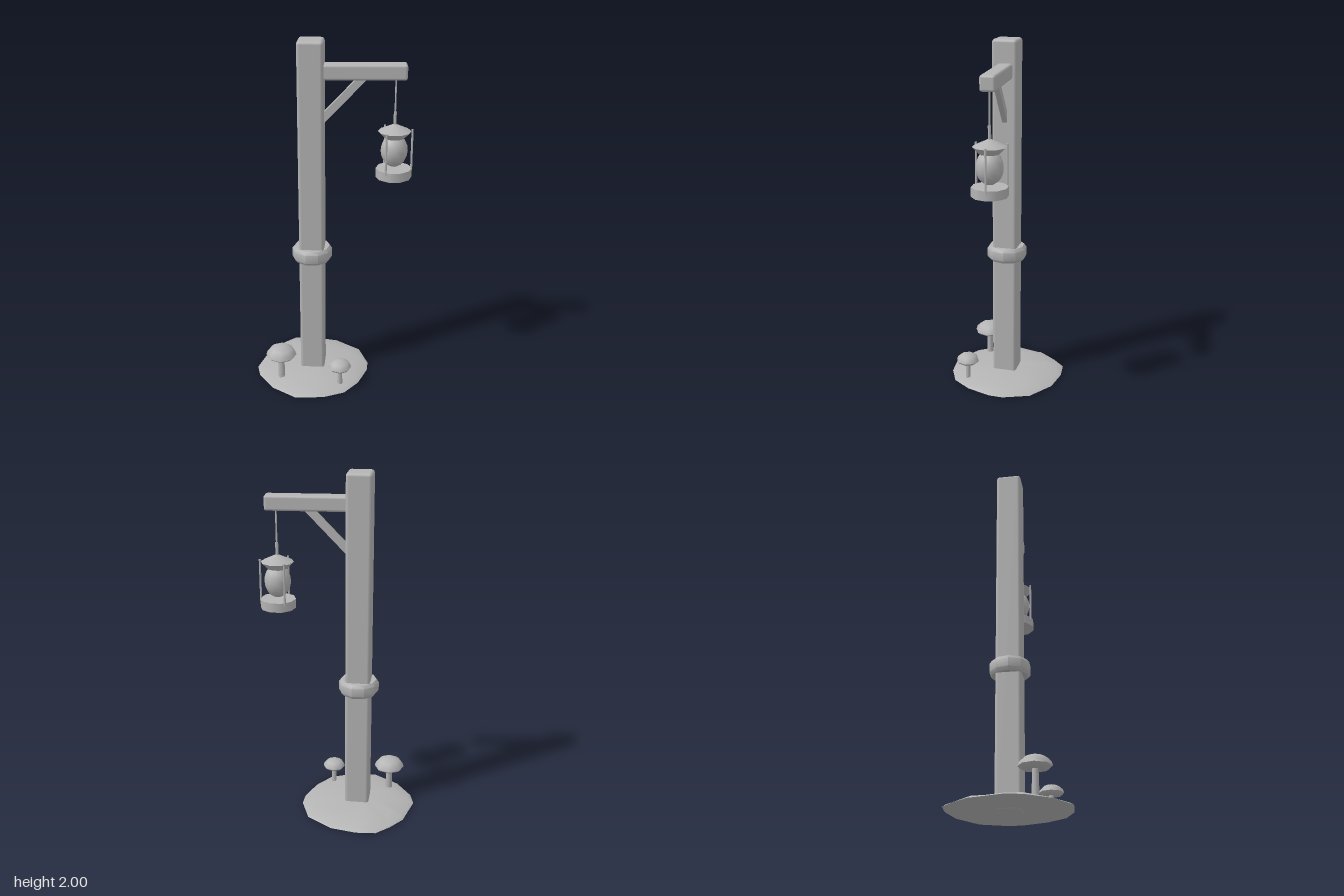
import * as THREE from 'three';
import { toCreasedNormals } from 'three/addons/utils/BufferGeometryUtils.js';
import { RoundedBoxGeometry } from 'three/addons/geometries/RoundedBoxGeometry.js';

export function createModel() {
  const model = new THREE.Group();
  const grey = new THREE.MeshStandardMaterial({ color: 0xb4b4b4 });
  grey.name = 'plain grey';

  const add = (name, geometry, x = 0, y = 0, z = 0, parent = model) => {
    const mesh = new THREE.Mesh(geometry, grey);
    mesh.name = name;
    mesh.position.set(x, y, z);
    parent.add(mesh);
    return mesh;
  };
  // Lathe from [radius, height] pairs, bottom to top, with a corner on the x axis
  const lathe = (points, sides, crease = 0.7) => toCreasedNormals(new THREE.LatheGeometry(
    points.map(([r, y]) => new THREE.Vector2(r, y)), sides, Math.PI / 2), crease);
  const rod = (r, from, to, sides = 6) =>
    new THREE.CylinderGeometry(r, r, to - from, sides).translate(0, (from + to) / 2, 0);

  // Ground mound: an uneven outline raised in rings, with a flat underside
  const outline = [[-0.23, -0.327], [-0.117, -0.33], [0.03, -0.295], [0.17, -0.19], [0.22, -0.04],
    [0.213, 0.04], [0.157, 0.175], [0.074, 0.276], [-0.045, 0.322], [-0.205, 0.327], [-0.343, 0.229],
    [-0.426, 0.1], [-0.445, 0.01], [-0.395, -0.14], [-0.385, -0.175], [-0.31, -0.26]];
  const cx = -0.11, n = outline.length;
  const rings = [[1, 0.005], [0.93, 0.017], [0.72, 0.034], [0.4, 0.046]];
  const positions = [], index = [];
  rings.forEach(([s, y], k) => outline.forEach(([x, z], i) =>
    positions.push(cx + (x - cx) * s, y + (k % 3 ? 0.003 * Math.sin(i * 2.3 + k) : 0), z * s)));
  const top = rings.length * n;
  positions.push(cx, 0.05, 0);
  for (let i = 0; i < n; i++) {
    const j = (i + 1) % n;
    for (let k = 0; k < rings.length - 1; k++) {
      const a = k * n + i, b = k * n + j;
      index.push(a, a + n, b, b, a + n, b + n);
    }
    index.push(top - n + i, top, top - n + j);
  }
  // Underside: separate vertices keep the rim sharp
  outline.forEach(([x, z]) => positions.push(x, 0.005, z));
  positions.push(cx, 0.005, 0);
  for (let i = 0; i < n; i++) index.push(top + 1 + i, top + 1 + (i + 1) % n, top + 1 + n);
  const mound = new THREE.BufferGeometry();
  mound.setAttribute('position', new THREE.Float32BufferAttribute(positions, 3));
  mound.setIndex(index);
  mound.computeVertexNormals();
  add('groundMound', mound);

  // Post, slightly twisted, with a collar
  add('post', new RoundedBoxGeometry(0.141, 2, 0.141, 2, 0.018), -0.109, 1, 0).rotation.y = -0.06;
  add('postCollar', lathe([[0.07, -0.042], [0.1, -0.042], [0.114, -0.024], [0.114, 0.024],
    [0.1, 0.042], [0.07, 0.042]], 10), -0.11, 0.778, 0);

  // Arm and its diagonal brace
  add('arm', new RoundedBoxGeometry(0.5, 0.084, 0.083, 2, 0.014), 0.15, 1.83, -0.001);
  add('brace', new THREE.BoxGeometry(0.36, 0.042, 0.028), 0.062, 1.687, 0).rotation.z = 0.81;

  // Hanging lantern
  const lantern = new THREE.Group();
  lantern.name = 'lantern';
  lantern.position.set(0.341, 0, 0);
  model.add(lantern);
  const hang = (name, geometry, x, y, z) => add(name, geometry, x, y, z, lantern);
  hang('rope', rod(0.005, 1.54, 1.8));
  hang('ropeSleeve', rod(0.009, 1.5, 1.61));
  hang('lanternBase', new THREE.CylinderGeometry(0.099, 0.099, 0.052, 10, 1, false, Math.PI / 2), 0, 1.265, 0);
  hang('lanternRoof', lathe([[0, 1.465], [0.055, 1.465], [0.091, 1.502], [0, 1.545]], 10));
  hang('lanternGlobe', new THREE.SphereGeometry(0.074, 12, 10).scale(1, 1.25, 1), 0, 1.393, 0);
  for (let i = 0; i < 3; i++) {
    const a = i * Math.PI * 2 / 3;
    hang('lanternRod', rod(0.006, 1.275, 1.512, 5), 0.096 * Math.cos(a), 0, 0.096 * Math.sin(a));
  }

  // Two mushrooms: radius, rim height, crown height, stem radius
  const mushroom = (name, x, z, r, rim, crown, stem) => {
    const h = crown - rim;
    const cap = [[0, rim - 0.012], [r * 0.45, rim - 0.018], [r * 0.85, rim - 0.012], [r, rim]];
    for (let i = 1; i <= 4; i++) {
      const a = i * Math.PI / 8;
      cap.push([i === 4 ? 0 : r * Math.cos(a), rim + h * Math.sin(a)]);
    }
    const group = new THREE.Group();
    group.name = name;
    group.position.set(x, 0, z);
    model.add(group);
    add('mushroomCap', lathe(cap, 8, 0.9), 0, 0, 0, group);
    add('mushroomStem', new THREE.CylinderGeometry(stem * 0.9, stem * 1.1, rim - 0.02, 8), 0, rim / 2 + 0.005, 0, group);
  };
  mushroom('largeMushroom', -0.292, 0.144, 0.088, 0.18, 0.237, 0.018);
  mushroom('smallMushroom', 0.05, 0.203, 0.066, 0.135, 0.178, 0.014);

  return model;
}
